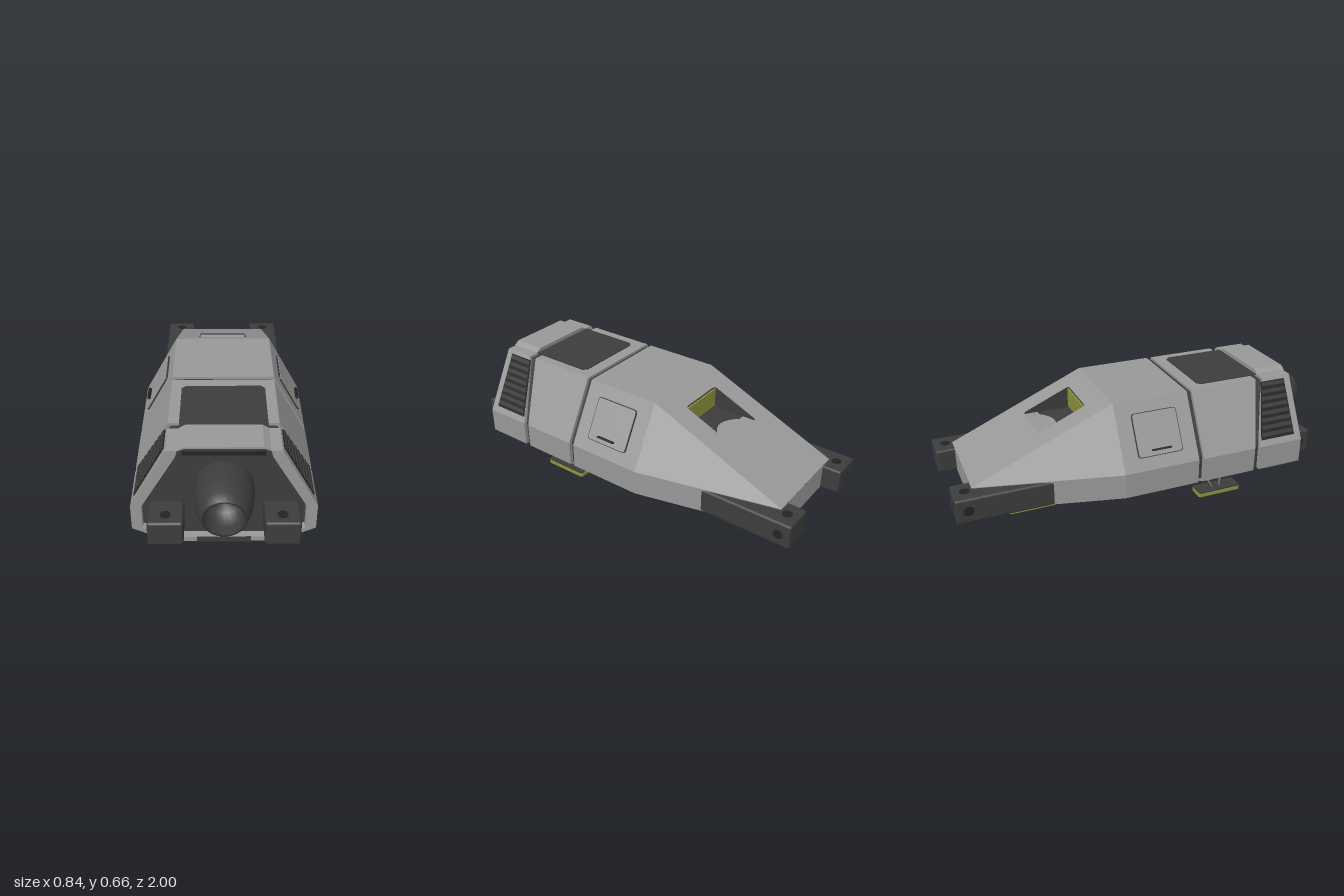
import * as THREE from 'three';
import { RoundedBoxGeometry } from 'three/addons/geometries/RoundedBoxGeometry.js';

const V = (x, y, z) => new THREE.Vector3(x, y, z);
const material = (name, color, side = THREE.FrontSide) => {
  const m = new THREE.MeshStandardMaterial({ color, side });
  m.name = name;
  return m;
};

// Half outline of the hull, bottom to top, on the +x side
const HULL = [[0.25, 0.12], [0.42, 0.2], [0.42, 0.33], [0.25, 0.64]];
const NOSE = [[0.25, 0.2], [0.25, 0.2], [0.25, 0.33], [0.25, 0.33]];
const RIM = [[0.22, 0.145], [0.37, 0.2], [0.37, 0.33], [0.21, 0.605]];
const CORE = HULL.map(([x, y]) => [x * 0.95, 0.38 + (y - 0.38) * 0.95]);

// Closed cross-section; z is a number or one value per half-outline point
function ring(half, z) {
  const pts = half.map(([x, y], i) => V(x, y, Array.isArray(z) ? z[i] : z));
  return [...pts, ...pts.map(p => V(-p.x, p.y, p.z)).reverse()];
}

// Flat-faced skin through rings, optionally capped or with one strip left open
function loft(rings, { start = false, end = false, skip = -1 } = {}) {
  const out = [];
  const tri = (...t) => t.forEach(p => out.push(p.x, p.y, p.z));
  const n = rings[0].length;
  for (let r = 0; r + 1 < rings.length; r++) {
    const a = rings[r], b = rings[r + 1];
    for (let i = 0; i < n; i++) {
      if (i === skip) continue;
      const j = (i + 1) % n;
      tri(a[i], a[j], b[j]);
      tri(a[i], b[j], b[i]);
    }
  }
  const first = rings[0], last = rings[rings.length - 1];
  for (let i = 1; i + 1 < n; i++) {
    if (start) tri(first[0], first[i + 1], first[i]);
    if (end) tri(last[0], last[i], last[i + 1]);
  }
  const g = new THREE.BufferGeometry();
  g.setAttribute('position', new THREE.Float32BufferAttribute(out, 3));
  g.computeVertexNormals();
  return g;
}

// Mirror a geometry across x = 0, keeping faces outward
function mirrored(geo) {
  const g = geo.index ? geo.toNonIndexed() : geo.clone();
  g.scale(-1, 1, 1);
  const p = g.attributes.position;
  for (let i = 0; i < p.count; i += 3) {
    const b = V().fromBufferAttribute(p, i + 1), c = V().fromBufferAttribute(p, i + 2);
    p.setXYZ(i + 1, c.x, c.y, c.z);
    p.setXYZ(i + 2, b.x, b.y, b.z);
  }
  g.computeVertexNormals();
  return g;
}

const polygon = pts => new THREE.Shape(pts.map(p => new THREE.Vector2(...p)));
const extrude = (shape, depth) => new THREE.ExtrudeGeometry(shape, { depth, bevelEnabled: false, curveSegments: 5 });

function roundedRect(x0, y0, x1, y1, r, Type = THREE.Shape) {
  const s = new Type();
  s.moveTo(x0 + r, y0).lineTo(x1 - r, y0).quadraticCurveTo(x1, y0, x1, y0 + r);
  s.lineTo(x1, y1 - r).quadraticCurveTo(x1, y1, x1 - r, y1);
  s.lineTo(x0 + r, y1).quadraticCurveTo(x0, y1, x0, y1 - r);
  s.lineTo(x0, y0 + r).quadraticCurveTo(x0, y0, x0 + r, y0);
  return s;
}

// Plate on a hull facet from p to q; shape coordinates are (-z, distance from p)
function onFacet(shape, p, q, depth, lift = 0) {
  const d = V(q[0] - p[0], q[1] - p[1], 0).normalize();
  const n = V(d.y, -d.x, 0);
  const m = new THREE.Matrix4().makeBasis(V(0, 0, -1), d, n);
  m.setPosition(V(p[0], p[1], 0).addScaledVector(n, lift));
  return extrude(shape, depth).applyMatrix4(m);
}

export function createModel() {
  const group = new THREE.Group();
  const hull = material('hull grey', 0x999999);
  const dark = material('dark grey', 0x3d3d3d, THREE.DoubleSide);
  const black = material('near black', 0x232323);
  const green = material('olive yellow', 0x8f943c);

  const add = (name, geo, mat, x = 0, y = 0, z = 0) => {
    const m = new THREE.Mesh(geo, mat);
    m.name = name;
    m.position.set(x, y, z);
    group.add(m);
    return m;
  };
  const pair = (name, geo, mat) => {
    add(name + 'Left', geo, mat);
    add(name + 'Right', mirrored(geo), mat);
  };
  const box = (name, mat, w, h, d, x, y, z) => add(name, new THREE.BoxGeometry(w, h, d), mat, x, y, z);

  // Hull sections, with the dark core showing in the gaps
  add('core', loft([ring(CORE, 0.1), ring(CORE, 0.68)]), dark);
  add('cabin', loft([ring(HULL, -0.19), ring(HULL, 0.21)], { end: true }), hull);
  add('noseSides', loft([ring(NOSE, -0.905), ring(HULL, -0.19)], { start: true, skip: 3 }), hull);
  add('rearSection', loft([ring(HULL, 0.237), ring(HULL, [0.61, 0.535, 0.535, 0.61])], { start: true, end: true }), hull);
  add('engineShroud', loft([ring(CORE, [0.645, 0.565, 0.565, 0.65]), ring(HULL, [0.645, 0.565, 0.565, 0.65]),
    ring(HULL, 0.815), ring(RIM, 0.815), ring(RIM, 0.775)]), hull);
  add('enginePlate', loft([ring(RIM, 0.7), ring(RIM, 0.777)], { end: true }), dark);

  // Sloping nose roof with the window opening
  const roof = polygon([[-0.25, 0], [0.25, 0], [0.25, 0.779], [-0.25, 0.779]]);
  roof.holes.push(roundedRect(-0.13, 0.109, 0.13, 0.381, 0.02, THREE.Path));
  const slope = V(0, -0.31, -0.715).normalize();
  const roofFrame = new THREE.Matrix4().makeBasis(V(1, 0, 0), slope, V(0, -slope.z, slope.y)).setPosition(0, 0.64, -0.19);
  add('noseRoof', new THREE.ShapeGeometry(roof).applyMatrix4(roofFrame), hull);

  // Window recess: floor, rounded ramp, cheeks and pane
  box('recessFloor', dark, 0.27, 0.006, 0.27, 0, 0.474, -0.415);
  const ramp = polygon([[-0.13, 0.545], [-0.13, 0.465], [-0.1, 0.465]]);
  ramp.quadraticCurveTo(0, 0.355, 0.1, 0.465).lineTo(0.13, 0.465).lineTo(0.13, 0.545);
  add('recessRamp', new THREE.ShapeGeometry(ramp).rotateX(-Math.PI / 2), hull, 0, 0.48, 0);
  for (const x of [-0.133, 0.13]) {
    const cheek = extrude(polygon([[0.29, 0.47], [0.29, 0.594], [0.545, 0.484], [0.545, 0.47]]), 0.003);
    add('recessCheek', cheek.rotateY(Math.PI / 2), dark, x, 0, 0);
  }
  box('recessWall', dark, 0.26, 0.12, 0.006, 0, 0.533, -0.288);
  box('window', green, 0.25, 0.1, 0.008, 0, 0.538, -0.295);

  // Roof hatch and the raised cowl over the engine
  const hatch = polygon([[-0.2, -0.645], [0.2, -0.645], [0.2, -0.32], [0.18, -0.3], [-0.18, -0.3], [-0.2, -0.32]]);
  add('roofHatch', extrude(hatch, 0.004).rotateX(-Math.PI / 2), dark, 0, 0.64, 0);
  add('cowl', extrude(polygon([[-0.2, 0.635], [0.2, 0.635], [0.2, 0.642], [0.17, 0.66], [-0.17, 0.66], [-0.2, 0.642]]), 0.168), hull, 0, 0, 0.65);
  add('cowlVent', extrude(polygon([[-0.21, 0.605], [0.21, 0.605], [0.2, 0.64], [0.17, 0.651], [-0.17, 0.651], [-0.2, 0.64]]), 0.006), dark, 0, 0, 0.814);
  box('ventShade', black, 0.36, 0.02, 0.004, 0, 0.63, 0.82);
  box('lowerNotch', dark, 0.25, 0.025, 0.006, 0, 0.1325, 0.815);
  box('lowerPanel', dark, 0.25, 0.005, 0.17, 0, 0.12, 0.733);

  // Side doors with handles
  const [, , low, high] = HULL;
  pair('doorSeal', onFacet(roundedRect(-0.13, 0.065, 0.11, 0.288, 0.018), low, high, 0.008), dark);
  pair('door', onFacet(roundedRect(-0.126, 0.069, 0.106, 0.284, 0.015), low, high, 0.004, 0.006), hull);
  pair('doorHandle', onFacet(roundedRect(-0.065, 0.09, 0.035, 0.1, 0.003), low, high, 0.022, 0.004), black);

  // Shroud grilles: upper sides and lower chines
  pair('grille', onFacet(polygon([[-0.777, 0.034], [-0.578, 0.034], [-0.638, 0.335], [-0.777, 0.335]]), low, high, 0.004), black);
  for (let i = 0; i < 8; i++) {
    const s = 0.05 + i * 0.037, front = 0.583 + (s - 0.034) * 0.2;
    pair('grilleSlat', onFacet(polygon([[-0.77, s], [-front, s], [-front, s + 0.02], [-0.77, s + 0.02]]), low, high, 0.005, 0.004), dark);
  }
  pair('lowerGrille', onFacet(polygon([[-0.777, 0.025], [-0.635, 0.025], [-0.595, 0.165], [-0.777, 0.165]]), HULL[0], HULL[1], 0.004), black);
  for (let i = 0; i < 4; i++) {
    const s = 0.035 + i * 0.033;
    pair('lowerGrilleSlat', onFacet(polygon([[-0.77, s], [-0.635, s], [-0.635, s + 0.018], [-0.77, s + 0.018]]), HULL[0], HULL[1], 0.005, 0.004), dark);
  }

  // Engine nozzle, hollow
  const profile = [[0.132, 0.74], [0.136, 0.8], [0.134, 0.85], [0.126, 0.91], [0.114, 0.96], [0.098, 1],
    [0.087, 1], [0.09, 0.95], [0.08, 0.87], [0, 0.85]].map(p => new THREE.Vector2(...p));
  add('nozzle', new THREE.LatheGeometry(profile, 24).rotateX(Math.PI / 2), dark, 0, 0.42, 0);

  // Thruster beams and blocks with round ports
  const port = new THREE.CylinderGeometry(0.025, 0.025, 0.004, 16);
  for (const x of [-0.26, 0.26]) {
    for (const [name, z0, z1, pz] of [['noseBeam', -1, -0.52, -0.94], ['rearBlock', 0.7, 0.925, 0.865]]) {
      add(name, new RoundedBoxGeometry(0.16, 0.128, z1 - z0, 2, 0.012), dark, x, 0.262, (z0 + z1) / 2);
      add('topPort', port, black, x, 0.325, pz);
      add('bottomPort', port, black, x, 0.199, pz);
      add('sidePort', port, black, x + Math.sign(x) * 0.079, 0.262, pz).rotation.z = Math.PI / 2;
    }
    add('endPort', port, black, x, 0.262, -0.998).rotation.x = Math.PI / 2;
  }

  // Landing gear: wells, struts and feet
  const strut = (a, b, r) => {
    const dir = b.clone().sub(a);
    const m = add('strut', new THREE.CylinderGeometry(r, r, dir.length(), 10), dark);
    m.position.copy(a).add(b).multiplyScalar(0.5);
    m.quaternion.setFromUnitVectors(V(0, 1, 0), dir.normalize());
  };
  const foot = (x, z) => {
    const pad = roundedRect(-0.045, -0.125, 0.045, 0.125, 0.015);
    add('footTrim', extrude(pad, 0.02).rotateX(-Math.PI / 2), green, x, 0.002, z);
    add('footTop', extrude(pad, 0.009).rotateX(-Math.PI / 2).scale(0.95, 1, 0.97), dark, x, 0.021, z);
    add('footSole', extrude(pad, 0.004).rotateX(-Math.PI / 2).scale(0.93, 1, 0.97), dark, x, 0, z);
  };
  const well = new THREE.CylinderGeometry(0.095, 0.095, 0.006, 24);
  for (const s of [-1, 1]) {
    foot(s * 0.23, 0.425);
    add('gearWell', well, black, s * 0.145, 0.12, 0.425);
    strut(V(s * 0.23, 0.025, 0.445), V(s * 0.14, 0.135, 0.505), 0.012);
    strut(V(s * 0.23, 0.025, 0.4), V(s * 0.14, 0.135, 0.355), 0.012);
    strut(V(s * 0.012, 0.025, -0.61), V(s * 0.042, 0.175, -0.54), 0.012);
  }
  foot(0, -0.57);
  add('noseGearWell', well, black, 0, 0.156, -0.51).rotation.x = Math.atan2(0.08, 0.715);
  strut(V(0, 0.025, -0.54), V(0, 0.165, -0.435), 0.012);
  return group;
}
